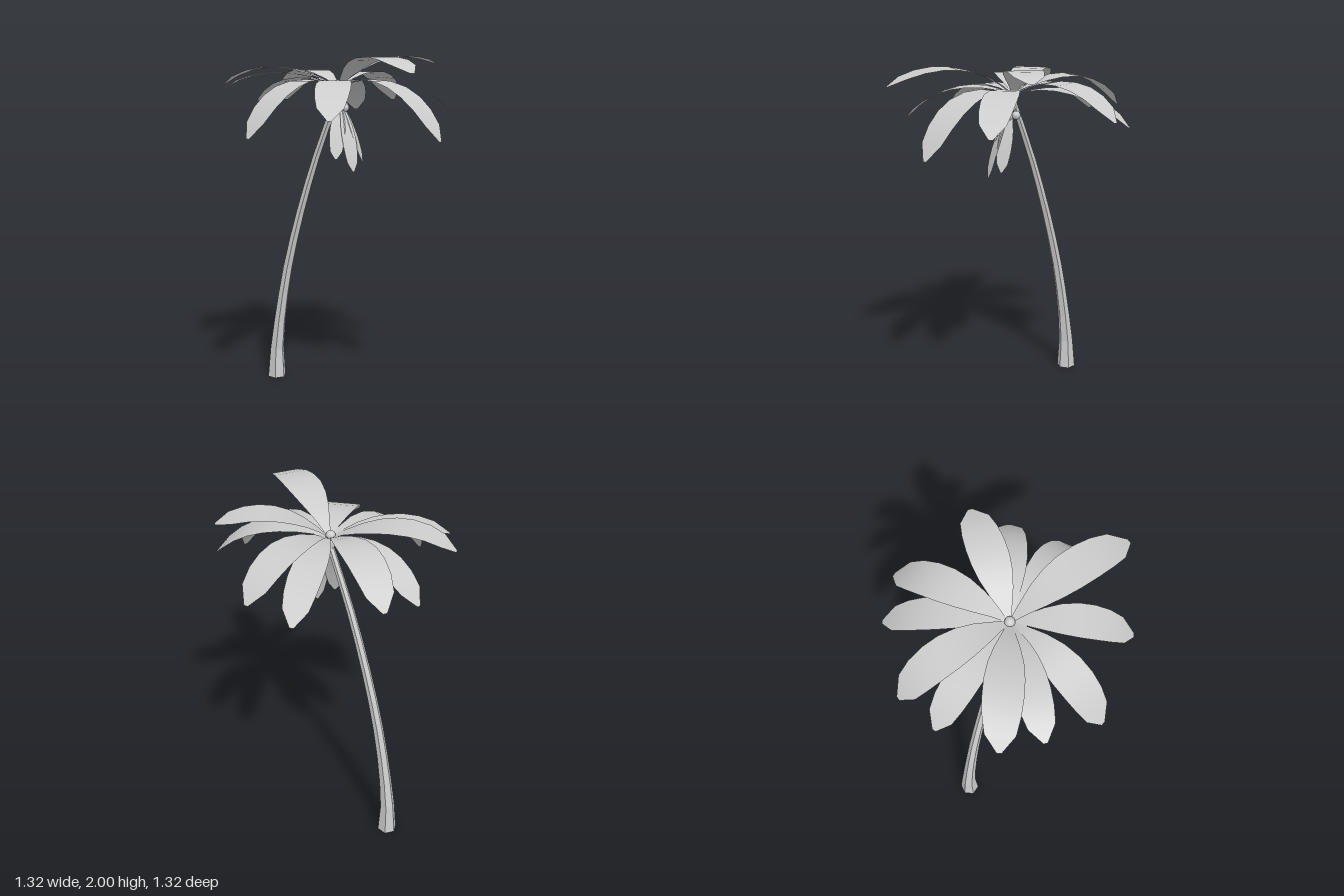
import * as THREE from 'three';

const paleGrey = new THREE.MeshStandardMaterial({ color: 0xcccccc, side: THREE.DoubleSide });
paleGrey.name = 'paleGrey';

// Half width of a frond along its length, relative to its widest point
const FROND_WIDTH = [0.08, 0.34, 0.64, 0.87, 0.99, 1, 0.93, 0.76, 0.12];

// Flat strip of leaf that follows an arch from the root to the tip
function frondGeometry(root, tip, h1, h2, halfWidth) {
  const at = (f, y) => new THREE.Vector3(
    THREE.MathUtils.lerp(root.x, tip.x, f), y, THREE.MathUtils.lerp(root.z, tip.z, f));
  const arch = new THREE.CubicBezierCurve3(root, at(0.35, h1), at(0.75, h2), tip);
  const side = new THREE.Vector3(tip.z - root.z, 0, root.x - tip.x).normalize();
  const pos = [], index = [];
  const n = FROND_WIDTH.length - 1;
  for (let i = 0; i <= n; i++) {
    const p = arch.getPointAt(i / n);
    for (const s of [1, -1]) {
      const v = p.clone().addScaledVector(side, s * FROND_WIDTH[i] * halfWidth);
      pos.push(v.x, v.y, v.z);
    }
    if (i < n) {
      const a = i * 2;
      index.push(a, a + 1, a + 2, a + 1, a + 3, a + 2);
    }
  }
  const g = new THREE.BufferGeometry();
  g.setAttribute('position', new THREE.Float32BufferAttribute(pos, 3));
  g.setIndex(index);
  g.computeVertexNormals();
  // Keep the upper face as the front
  if (g.attributes.normal.getY(n) < 0) {
    g.setIndex(index.reverse());
    g.computeVertexNormals();
  }
  return g;
}

// Six-sided trunk: a cylinder bent along a leaning curve
function trunkGeometry() {
  const curve = new THREE.CatmullRomCurve3([
    [-0.517, 0, 0.017], [-0.512, 0.18, 0.017], [-0.488, 0.36, 0.017], [-0.42, 0.7, 0.017],
    [-0.325, 1.03, 0.017], [-0.185, 1.42, 0.016], [-0.03, 1.77, 0.014],
  ].map(p => new THREE.Vector3(...p)));
  const g = new THREE.CylinderGeometry(1, 1, 1, 6, 10).rotateY(Math.PI / 2);
  const p = g.attributes.position;
  for (let i = 0; i < p.count; i++) {
    const t = p.getY(i) + 0.5;
    const c = curve.getPointAt(t), d = curve.getTangentAt(t);
    const r = 0.019 + 0.018 * (1 - t) + 0.021 * Math.pow(1 - t, 8);
    // Rings tilt with the lean, except the level foot
    const tilt = t < 0.01 ? 0 : Math.atan2(d.x, d.y);
    const x = p.getX(i) * r, z = p.getZ(i) * r;
    p.setXYZ(i, c.x + x * Math.cos(tilt), c.y - x * Math.sin(tilt), c.z + z);
  }
  const flat = g.toNonIndexed();
  flat.computeVertexNormals();
  return flat;
}

export function createModel() {
  const palm = new THREE.Group();
  palm.name = 'palmTree';
  const add = (name, geometry, parent = palm) => {
    const m = new THREE.Mesh(geometry, paleGrey);
    m.name = name;
    parent.add(m);
    return m;
  };

  add('trunk', trunkGeometry());

  // Bud at the top of the trunk, with nuts below it
  add('crownBud', new THREE.SphereGeometry(0.028, 12, 8)).position.set(-0.025, 1.845, 0.014);
  add('crownStem', new THREE.SphereGeometry(0.026, 12, 8).scale(1, 2, 1)).position.set(-0.02, 1.79, 0.014);
  for (const [x, y, z] of [[0.012, 1.72, 0.04], [0.02, 1.715, 0.008], [-0.005, 1.72, -0.025]]) {
    add('nut', new THREE.SphereGeometry(0.025, 10, 8)).position.set(x, y, z);
  }

  // Spreading fronds: tip x, y, z, two arch heights, half width
  const fronds = new THREE.Group();
  fronds.name = 'fronds';
  palm.add(fronds);
  const root = new THREE.Vector3(-0.02, 1.83, 0.012);
  for (const [x, y, z, h1, h2, w] of [
    [-0.1, 1.74, -0.66, 1.97, 1.95, 0.1],
    [-0.33, 1.675, -0.575, 1.92, 1.86, 0.09],
    [0.335, 1.96, -0.47, 2.04, 2.03, 0.1],
    [0.5, 1.69, -0.345, 1.93, 1.9, 0.095],
    [0.65, 1.55, -0.005, 1.93, 1.87, 0.1],
    [0.655, 1.91, 0.285, 2.05, 2.02, 0.105],
    [0.33, 1.675, 0.545, 1.92, 1.87, 0.095],
    [-0.13, 1.57, 0.655, 1.93, 1.87, 0.1],
    [-0.445, 1.83, 0.5, 1.94, 1.94, 0.09],
    [-0.61, 1.84, 0.345, 1.97, 1.99, 0.1],
    [-0.66, 1.69, -0.01, 1.93, 1.89, 0.09],
    [-0.635, 1.74, -0.24, 1.97, 1.98, 0.1],
  ]) add('frond', frondGeometry(root, new THREE.Vector3(x, y, z), h1, h2, w), fronds);

  // Small fronds hanging beside the trunk
  const low = new THREE.Vector3(-0.01, 1.76, 0.014);
  for (const [x, y, z] of [[0.13, 1.36, 0.07], [0.05, 1.43, 0.13], [0.12, 1.41, -0.03]]) {
    add('hangingFrond', frondGeometry(low, new THREE.Vector3(x, y, z), 1.68, 1.54, 0.045), fronds);
  }
  return palm;
}
